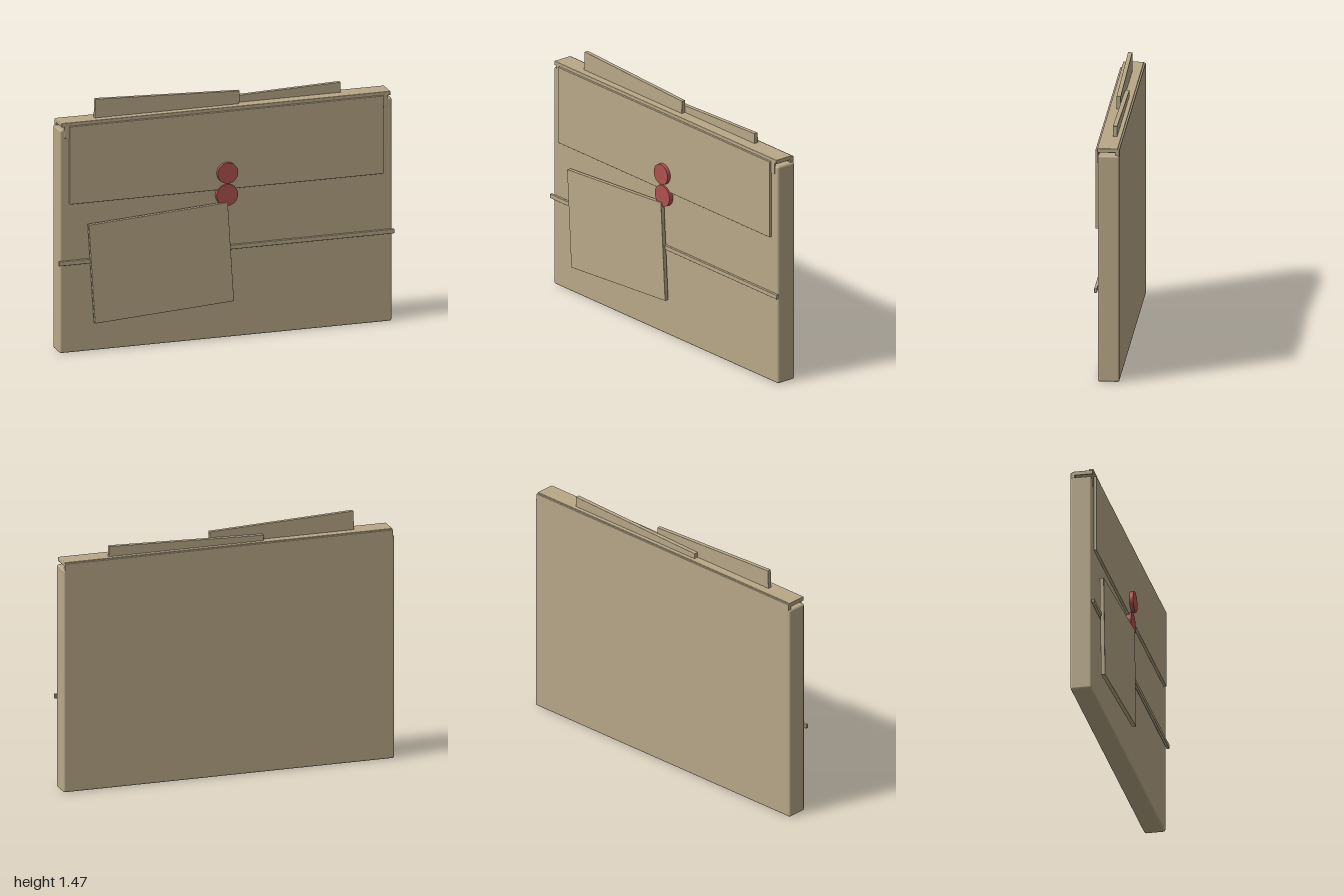
import * as THREE from 'three';
import { RoundedBoxGeometry } from 'three/addons/geometries/RoundedBoxGeometry.js';

export function createModel() {
  const model = new THREE.Group();
  const tan = new THREE.MeshStandardMaterial({ color: 0xb8a888 });
  tan.name = 'tan card';
  const red = new THREE.MeshStandardMaterial({ color: 0xb0524e });
  red.name = 'red button';

  // Slab from its min and max corners, with softened edges and an optional tilt
  function slab(name, [x0, y0, z0], [x1, y1, z1], radius = 0.003, tilt = 0) {
    const geometry = new RoundedBoxGeometry(x1 - x0, y1 - y0, z1 - z0, 2, radius);
    const mesh = new THREE.Mesh(geometry, tan);
    mesh.name = name;
    mesh.position.set((x0 + x1) / 2, (y0 + y1) / 2, (z0 + z1) / 2);
    mesh.rotation.z = tilt;
    model.add(mesh);
  }

  // Folder body, with the back panel rising above it
  slab('body', [-0.99, 0, -0.08], [0.99, 1.32, 0.043], 0.012);
  slab('backLip', [-0.98, 1.25, -0.08], [0.98, 1.355, -0.056], 0.004);

  // Flap folding over the top edge to the front
  slab('flapTop', [-0.98, 1.335, -0.07], [0.98, 1.36, 0.047], 0.004);
  slab('flapHinge', [-0.963, 1.27, 0.038], [0.963, 1.345, 0.047]);
  slab('frontFlap', [-0.935, 0.88, 0.043], [0.935, 1.34, 0.06]);

  // Band around the front
  slab('band', [-1, 0.522, 0.046], [1, 0.548, 0.062]);

  // Sheets sticking out of the top, and the one held under the band
  slab('frontSheet', [-0.775, 0.9, -0.02], [0.085, 1.453, 0.004], 0.001, -0.041);
  slab('backSheet', [-0.212, 0.9, -0.046], [0.712, 1.406, -0.021], 0.001, 0.03);
  slab('clippedSheet', [-0.811, 0.194, 0.055], [0.019, 0.781, 0.079], 0.002, 0.063);

  // Closing buttons
  for (const [name, y, r, z0, z1] of [
    ['upperButton', 0.98, 0.061, 0.058, 0.081],
    ['lowerButton', 0.847, 0.064, 0.043, 0.07],
  ]) {
    const geometry = new THREE.CylinderGeometry(r, r, z1 - z0, 32).rotateX(Math.PI / 2);
    const button = new THREE.Mesh(geometry, red);
    button.name = name;
    button.position.set(0, y, (z0 + z1) / 2);
    model.add(button);
  }
  return model;
}
